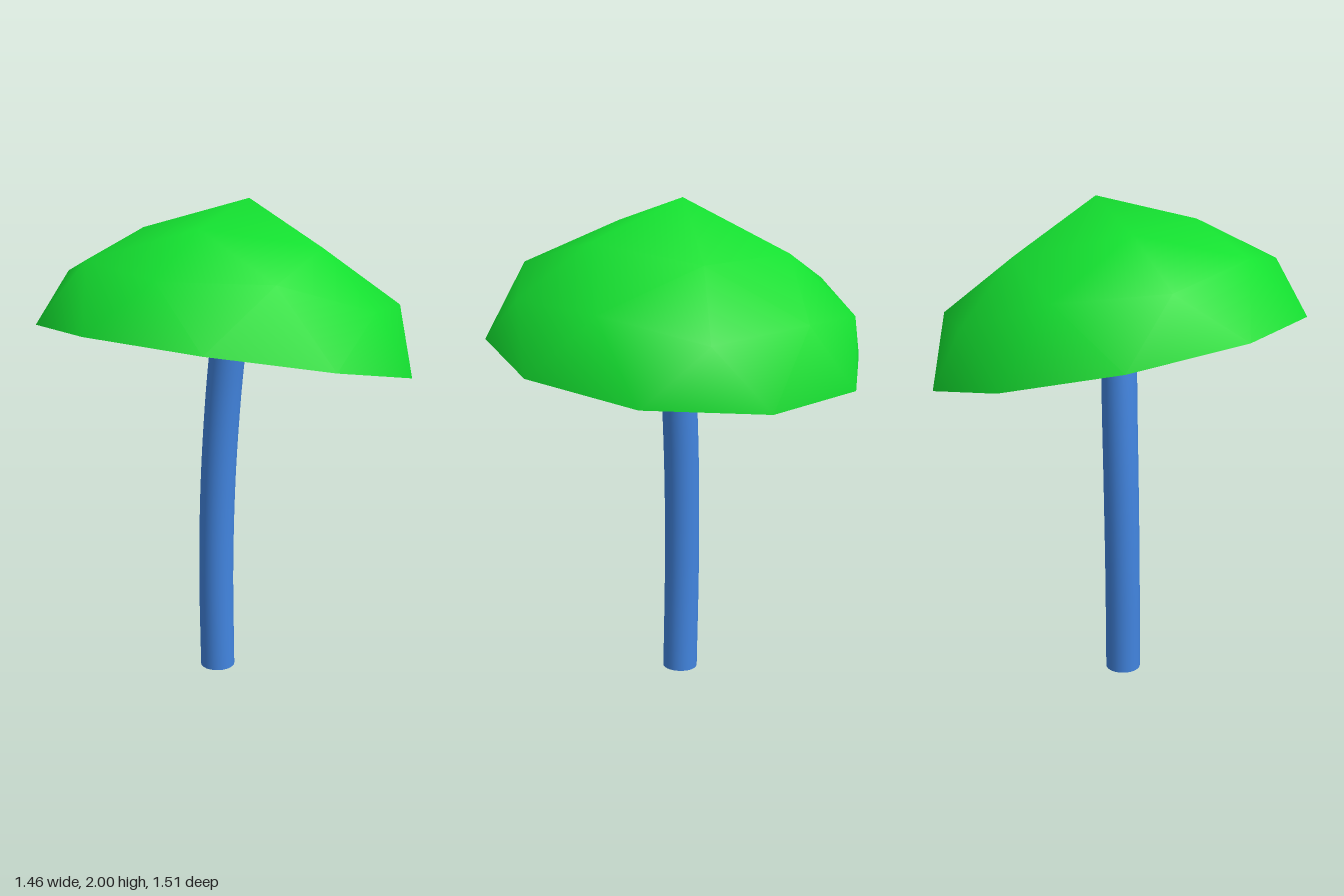
import * as THREE from 'three';

const RIM = 0.77;
const rad = THREE.MathUtils.degToRad;

function addMesh(parent, name, geometry, color) {
  const mesh = new THREE.Mesh(geometry, new THREE.MeshStandardMaterial({ color }));
  mesh.name = name;
  parent.add(mesh);
  return mesh;
}

// Half of a subdivided icosahedron: decagon rim, ten-point ring, five-point ring, peak
function domeGeometry() {
  const points = [];
  const index = [];
  const put = (deg, r, h) => points.push(r * Math.cos(rad(deg)), h, r * Math.sin(rad(deg)));
  for (let i = 0; i < 10; i++) put(18 + 36 * i, RIM, 0);
  for (let i = 0; i < 10; i++) put(36 * i, i % 2 ? 0.655 : 0.69, i % 2 ? 0.27 : 0.225);
  for (let i = 0; i < 5; i++) put(72 * i, 0.405, 0.437);
  points.push(0.025, 0.602, 0.023);

  const rim = (i) => i % 10;
  const mid = (i) => 10 + ((i + 10) % 10);
  const top = (i) => 20 + (i % 5);
  const face = (a, b, c) => index.push(b, a, c);
  for (let i = 0; i < 10; i++) {
    face(mid(i), rim(i), mid(i + 1));
    face(rim(i), rim(i + 1), mid(i + 1));
  }
  for (let i = 0; i < 5; i++) {
    face(mid(2 * i - 1), mid(2 * i), top(i));
    face(mid(2 * i), mid(2 * i + 1), top(i));
    face(mid(2 * i + 1), top(i + 1), top(i));
    face(top(i), top(i + 1), 25);
  }
  const geometry = new THREE.BufferGeometry();
  geometry.setAttribute('position', new THREE.Float32BufferAttribute(points, 3));
  geometry.setIndex(index);
  geometry.computeVertexNormals();
  return geometry;
}

export function createModel() {
  const model = new THREE.Group();
  model.name = 'mushroom';

  // Cap, tipped backwards
  const cap = new THREE.Group();
  cap.name = 'cap';
  cap.position.y = 1.405;
  cap.rotation.x = -0.2;
  model.add(cap);
  addMesh(cap, 'capDome', domeGeometry(), 0x14e030);
  const under = new THREE.CircleGeometry(RIM, 10, rad(18)).rotateX(Math.PI / 2);
  addMesh(cap, 'capUnderside', under, 0xcc66c0);

  // Gently bent stem
  const stem = new THREE.Group();
  stem.name = 'stem';
  model.add(stem);
  const path = new THREE.CatmullRomCurve3([
    new THREE.Vector3(-0.03, 0.005, 0.033),
    new THREE.Vector3(-0.038, 0.45, 0.032),
    new THREE.Vector3(-0.033, 0.85, 0.024),
    new THREE.Vector3(-0.015, 1.2, 0.012),
    new THREE.Vector3(0.006, 1.43, 0.004),
  ]);
  const radius = 0.073;
  addMesh(stem, 'stemTube', new THREE.TubeGeometry(path, 20, radius, 24), 0x4285e0);

  // Closed foot of the stem
  const foot = addMesh(stem, 'stemFoot', new THREE.CircleGeometry(radius, 24), 0x4285e0);
  foot.position.copy(path.getPointAt(0));
  foot.quaternion.setFromUnitVectors(new THREE.Vector3(0, 0, 1), path.getTangentAt(0).negate());

  return model;
}
